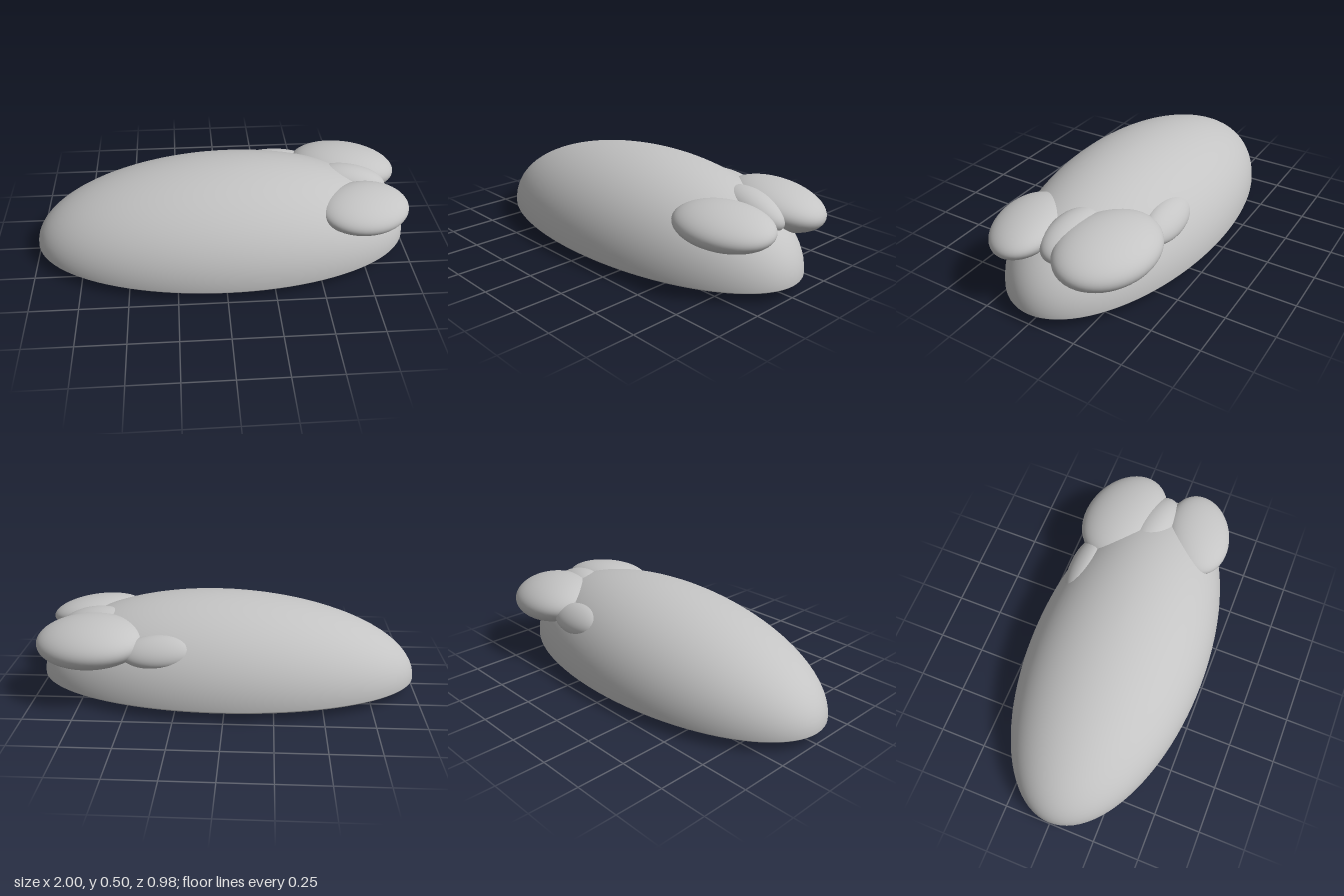
import * as THREE from 'three';
import { mergeVertices } from 'three/addons/utils/BufferGeometryUtils.js';

const grey = new THREE.MeshStandardMaterial({ color: 0xc4c4c4 });
grey.name = 'plainGrey';

// Domed oval with a shallow belly; the crown leans slightly towards +x.
function bodyGeometry() {
  const rim = 0.06, crown = 0.44, lean = 0.08;
  let geometry = new THREE.SphereGeometry(1, 96, 48);
  geometry.deleteAttribute('uv');
  geometry.deleteAttribute('normal');
  geometry = mergeVertices(geometry, 1e-5);
  const p = geometry.attributes.position;
  for (let i = 0; i < p.count; i++) {
    const x = p.getX(i), y = p.getY(i), z = p.getZ(i);
    const up = Math.max(y, 0);
    p.setXYZ(i, x + lean * up * up, rim + y * (y > 0 ? crown : rim), z * 0.49);
  }
  geometry.computeVertexNormals();
  return geometry;
}

// Slanted ellipsoid: centre, half extents, and how far z follows x (zx),
// y follows x (yx) and y follows z (yz).
function lobe(name, [cx, cy, cz], [hx, hy, hz], zx, yx, yz) {
  const geometry = new THREE.SphereGeometry(1, 48, 32);
  const zSide = Math.sqrt(hz * hz - zx * zx);
  const ySide = Math.sqrt(hy * hy - yx * yx - yz * yz);
  geometry.applyMatrix4(new THREE.Matrix4().set(
    hx, 0, 0, cx,
    yx, ySide, yz, cy,
    zx, 0, zSide, cz,
    0, 0, 0, 1
  ));
  const mesh = new THREE.Mesh(geometry, grey);
  mesh.name = name;
  return mesh;
}

export function createModel() {
  const group = new THREE.Group();
  group.name = 'domeWithLobes';

  const body = new THREE.Mesh(bodyGeometry(), grey);
  body.name = 'body';
  group.add(body);

  // Lobes clustered around one end of the body
  group.add(
    lobe('frontLobe', [0.73, 0.328, 0.185], [0.242, 0.093, 0.185], -0.0375, -0.017, -0.02),
    lobe('backLobe', [0.69, 0.32, -0.24], [0.285, 0.117, 0.22], 0.027, -0.014, 0.02),
    lobe('middleLobe', [0.69, 0.335, -0.06], [0.2, 0.097, 0.12], 0.02, -0.02, 0.01),
    lobe('smallBackLobe', [0.33, 0.31, -0.34], [0.19, 0.075, 0.08], 0.0, -0.01, 0.03)
  );
  return group;
}
